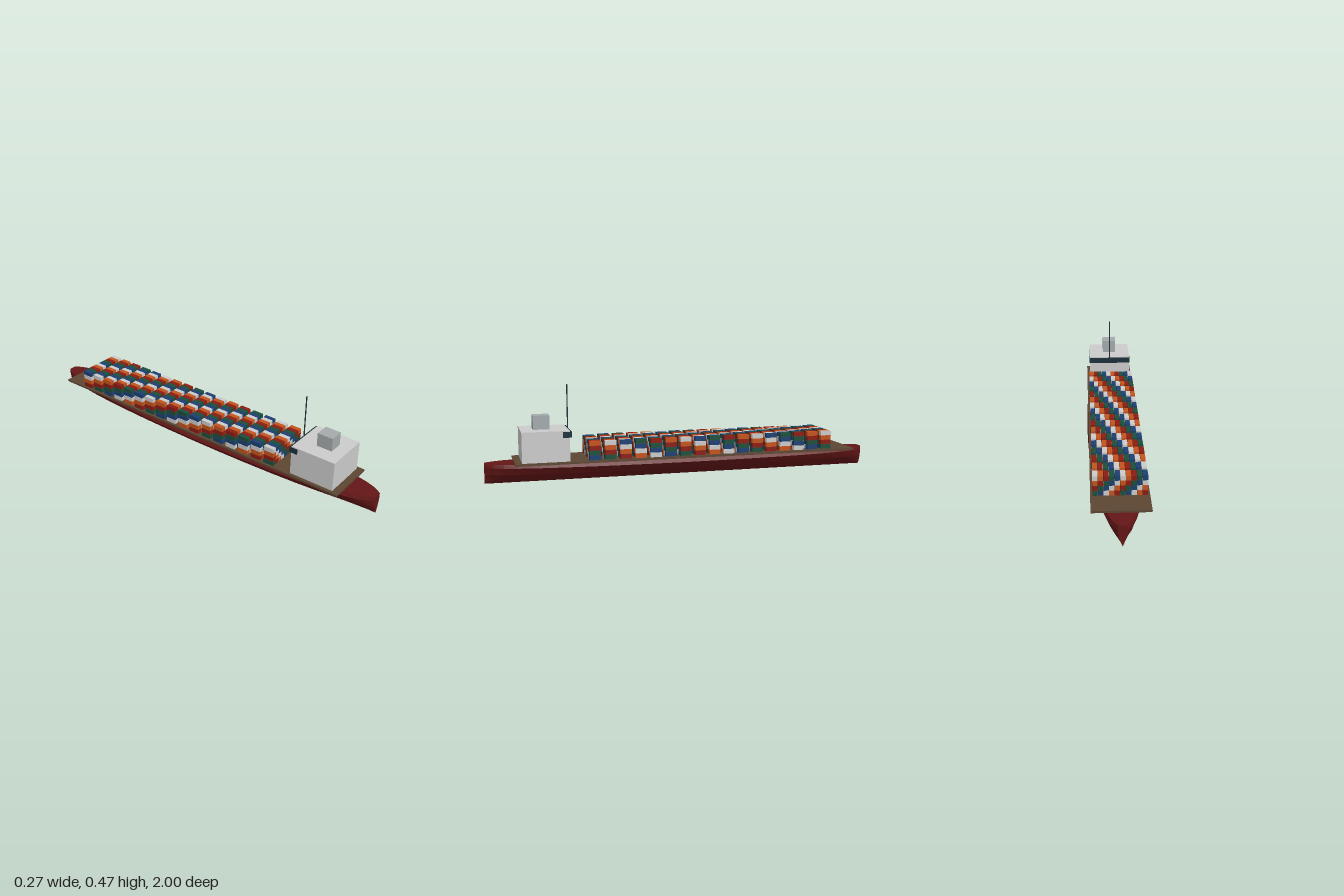
import * as THREE from 'three';
import { mergeGeometries } from 'three/addons/utils/BufferGeometryUtils.js';

const paint = (color, extra = {}) => new THREE.MeshStandardMaterial({ color, ...extra });

function addMesh(parent, name, geometry, material, x = 0, y = 0, z = 0) {
  const mesh = new THREE.Mesh(geometry, material);
  mesh.name = name;
  mesh.position.set(x, y, z);
  parent.add(mesh);
  return mesh;
}

// Box given by its lower and upper corners
function addBox(parent, name, [x0, y0, z0], [x1, y1, z1], material) {
  return addMesh(parent, name, new THREE.BoxGeometry(x1 - x0, y1 - y0, z1 - z0), material,
    (x0 + x1) / 2, (y0 + y1) / 2, (z0 + z1) / 2);
}

// Hull: one midship section, narrowed towards both ends
function hullGeometry() {
  const side = [[0.045, 0.016], [0.107, 0.048], [0.136, 0.082], [0.122, 0.1]];
  const section = [[0, 0], ...side, ...side.map(([x, y]) => [-x, y]).reverse()];
  const half = [0.16, 0.32, 0.48, 0.62, 0.74, 0.84, 0.91, 0.96, 0.985, 1];
  const stations = [...half.map((z) => -z).reverse(), 0, ...half];
  const n = section.length;
  const positions = [];
  const index = [];
  for (const z of stations) {
    const width = Math.max(0.16, Math.pow(1 - z * z, 0.4)) * (1 + 0.03 * z);
    for (const [x, y] of section) positions.push(x * width, y, z);
  }
  for (let i = 0; i < stations.length - 1; i++) {
    for (let j = 0; j < n; j++) {
      const a = i * n + j;
      const b = i * n + (j + 1) % n;
      index.push(a, b, b + n, a, b + n, a + n);
    }
  }
  // Close the bow and the stern
  const last = (stations.length - 1) * n;
  for (let j = 1; j < n - 1; j++) {
    index.push(0, j + 1, j);
    index.push(last, last + j, last + j + 1);
  }
  const geometry = new THREE.BufferGeometry();
  geometry.setAttribute('position', new THREE.Float32BufferAttribute(positions, 3));
  geometry.setIndex(index);
  const faceted = geometry.toNonIndexed();
  faceted.computeVertexNormals();
  return faceted;
}

// Container stacks: 17 bays of 10 columns and 4 tiers, colours in rotation
function addContainers(parent) {
  const colors = { red: 0x8b1c12, orange: 0xc4531b, white: 0xc4c8c8, blue: 0x1c3f73, green: 0x1c4f3c };
  const names = Object.keys(colors);
  const batches = names.map(() => []);
  for (let bay = 0; bay < 17; bay++) {
    for (let column = 0; column < 10; column++) {
      for (let tier = 0; tier < 4; tier++) {
        const box = new THREE.BoxGeometry(0.0225, 0.022, 0.056);
        box.translate((column - 4.5) * 0.0242, 0.1225 + tier * 0.0237, -0.745 + bay * 0.0763);
        batches[(bay * 4 + column + tier) % 5].push(box);
      }
    }
  }
  const cargo = new THREE.Group();
  cargo.name = 'containers';
  names.forEach((name, i) => addMesh(cargo, `${name}Containers`, mergeGeometries(batches[i]), paint(colors[name])));
  parent.add(cargo);
}

export function createModel() {
  const ship = new THREE.Group();
  ship.name = 'containerShip';

  addMesh(ship, 'hull', hullGeometry(), paint(0x641616, { flatShading: true }));
  addBox(ship, 'deck', [-0.13, 0.1, -0.9], [0.13, 0.11, 0.86], paint(0x5c4633));
  addContainers(ship);

  // Accommodation block with its window band, funnel and mast
  addBox(ship, 'deckhouse', [-0.114, 0.11, 0.597], [0.114, 0.26, 0.827], paint(0xcccccc));
  addBox(ship, 'bridgeWindows', [-0.116, 0.227, 0.587], [0.116, 0.255, 0.63], paint(0x1c303a));
  addBox(ship, 'funnel', [-0.036, 0.26, 0.685], [0.036, 0.328, 0.765], paint(0xa4aaac));
  addMesh(ship, 'mast', new THREE.CylinderGeometry(0.003, 0.003, 0.234, 8), paint(0x2b3138), 0, 0.357, 0.593);

  return ship;
}
